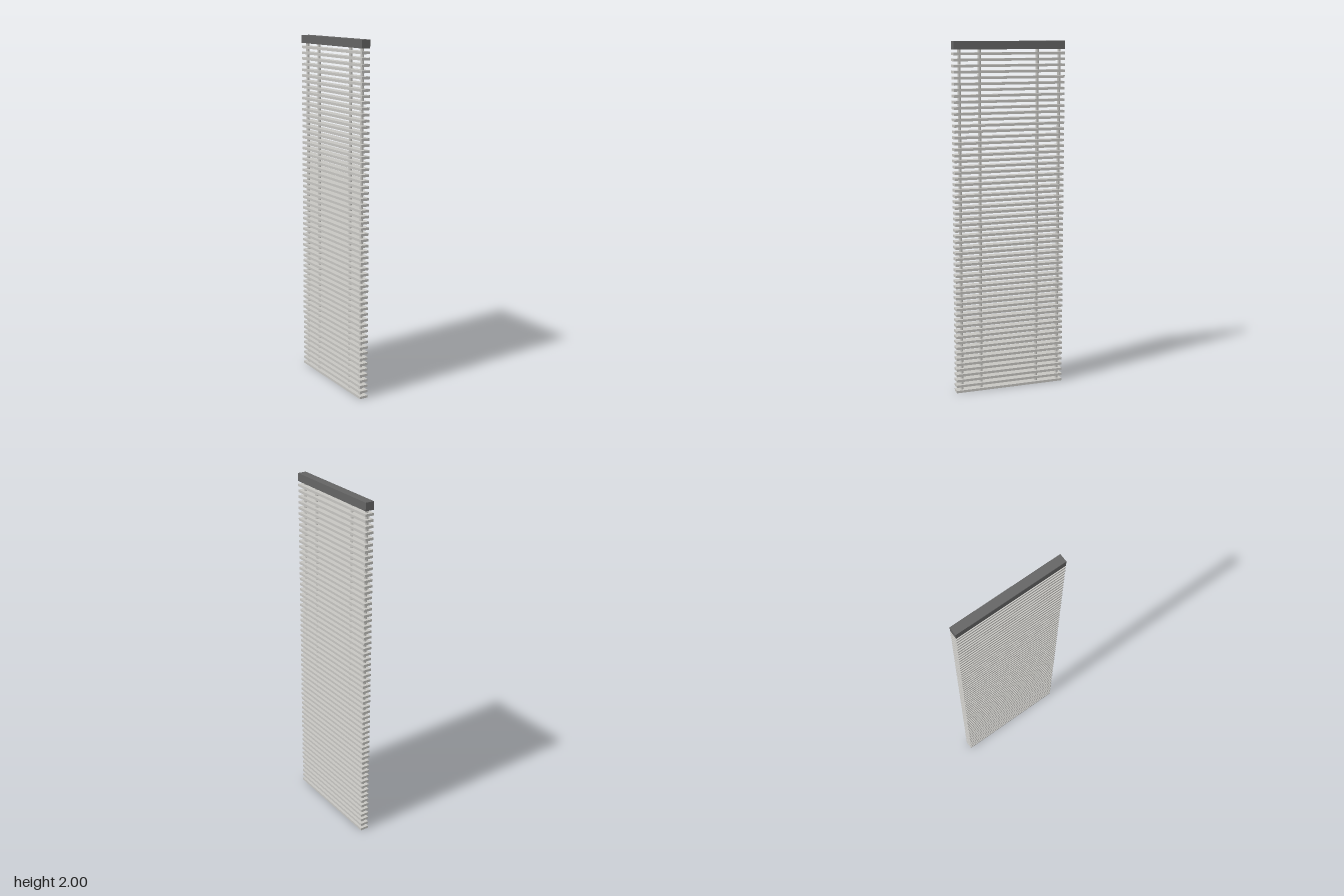
import * as THREE from 'three';

export function createModel() {
  const model = new THREE.Group();
  model.name = 'slattedBlind';

  const railGrey = new THREE.MeshStandardMaterial({ color: 0x646464 });
  railGrey.name = 'dark rail grey';
  const slatGrey = new THREE.MeshStandardMaterial({ color: 0xc6c5c1 });
  slatGrey.name = 'pale slat grey';

  const depth = 0.05, length = 0.65, height = 2;
  const railHeight = 0.045, slatThickness = 0.014;

  function add(name, geometry, material, x, y, z, parent = model) {
    const mesh = new THREE.Mesh(geometry, material);
    mesh.name = name;
    mesh.position.set(x, y, z);
    parent.add(mesh);
    return mesh;
  }

  // Head rail
  add('headRail', new THREE.BoxGeometry(depth, railHeight, length), railGrey,
    0, height - railHeight / 2, 0);

  // Evenly spaced slats; the lowest one rests on the ground
  const slats = new THREE.Group();
  slats.name = 'slats';
  model.add(slats);
  const slatGeometry = new THREE.BoxGeometry(depth, slatThickness, length);
  const count = 60, bottom = slatThickness / 2, top = 1.932;
  for (let i = 0; i < count; i++) {
    const y = bottom + (top - bottom) * i / (count - 1);
    add(i === 0 ? 'bottomSlat' : 'slat', slatGeometry, slatGrey, 0, y, 0, slats);
  }

  // Vertical cords threaded through the slats
  const cords = new THREE.Group();
  cords.name = 'cords';
  model.add(cords);
  const cordBottom = 0.005, cordTop = height - railHeight;
  const cordGeometry = new THREE.CylinderGeometry(0.009, 0.009, cordTop - cordBottom, 12);
  for (const z of [0.288, 0.172, -0.168, -0.299]) {
    add('cord', cordGeometry, slatGrey, 0, (cordTop + cordBottom) / 2, z, cords);
  }

  return model;
}
